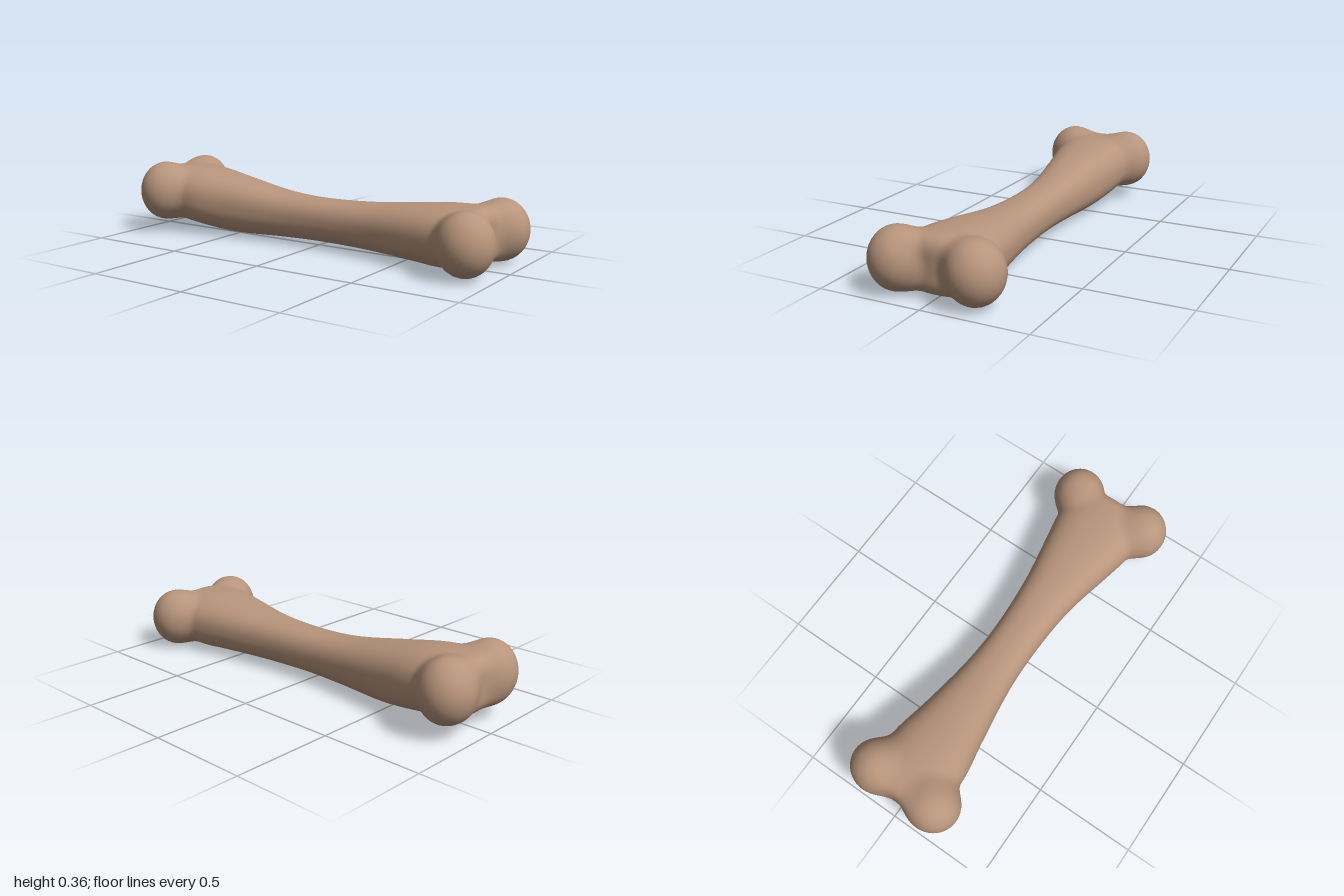
import * as THREE from 'three';

// Shaft cross-sections: x, top, bottom, back z, front z
const SECTIONS = [
  [-0.95, 0.33, 0.075, -0.19, 0.18],
  [-0.8, 0.338, 0.052, -0.205, 0.195],
  [-0.68, 0.33, 0.034, -0.2, 0.192],
  [-0.5, 0.3, 0.014, -0.172, 0.158],
  [-0.2, 0.248, 0.021, -0.135, 0.112],
  [0, 0.235, 0.025, -0.128, 0.103],
  [0.3, 0.243, 0.02, -0.148, 0.12],
  [0.6, 0.274, 0.007, -0.198, 0.183],
  [0.7, 0.282, 0.002, -0.216, 0.203],
  [0.95, 0.283, 0.018, -0.22, 0.215],
];

// Knobs: centre and radii
const KNOBS = [
  { c: [-0.872, 0.211, -0.158], r: [0.128, 0.15, 0.134] },
  { c: [-0.872, 0.211, 0.15], r: [0.128, 0.15, 0.134] },
  { c: [0.869, 0.154, -0.19], r: [0.131, 0.145, 0.13] },
  { c: [0.869, 0.154, 0.185], r: [0.131, 0.145, 0.13] },
];

const interpolant = new THREE.CubicInterpolant(
  SECTIONS.map((s) => s[0]), SECTIONS.flatMap((s) => s.slice(1)), 4);

function section(x) {
  const [top, bottom, back, front] = interpolant.evaluate(THREE.MathUtils.clamp(x, -0.949, 0.949));
  return {
    y: (top + bottom) / 2, h: (top - bottom) / 2,
    z: (back + front) / 2, w: (front - back) / 2,
  };
}

function smoothMin(a, b, k) {
  const h = Math.max(k - Math.abs(a - b), 0) / k;
  return Math.min(a, b) - h * h * k * 0.25;
}
const smoothMax = (a, b, k) => -smoothMin(-a, -b, k);

// Signed field of the whole bone: flattened shaft blended with four knobs
function field(x, y, z) {
  const s = section(x), n = 2.4;
  const q = Math.pow(Math.abs((y - s.y) / s.h) ** n + Math.abs((z - s.z) / s.w) ** n, 1 / n);
  let d = (q - 1) * Math.min(s.h, s.w);
  d = smoothMax(d, x - 0.91, 0.08);
  d = smoothMax(d, -0.955 - x, 0.08);
  for (const { c, r } of KNOBS) {
    const e = Math.hypot((x - c[0]) / r[0], (y - c[1]) / r[1], (z - c[2]) / r[2]);
    d = smoothMin(d, (e - 1) * Math.min(...r), 0.045);
  }
  return d;
}

// Rings fan around each end and run straight along the shaft
function ringList() {
  const rings = [], axis = 0.7, fan = 32, along = 44;
  for (let i = 0; i <= fan; i++) rings.push([-axis, Math.PI * (1 - i / fan / 2)]);
  for (let i = 1; i < along; i++) rings.push([-axis + (2 * axis * i) / along, Math.PI / 2]);
  for (let i = 0; i <= fan; i++) rings.push([axis, (Math.PI / 2) * (1 - i / fan)]);
  return rings;
}

function boneGeometry() {
  const around = 80, rings = ringList(), last = rings.length - 1;
  const positions = [], index = [];
  rings.forEach(([ox, theta], i) => {
    const oy = section(ox).y;
    const count = i === 0 || i === last ? 1 : around;
    for (let j = 0; j < count; j++) {
      const phi = (j / around) * Math.PI * 2;
      const dir = [Math.cos(theta), Math.sin(theta) * Math.cos(phi), Math.sin(theta) * Math.sin(phi)];
      // Bisect outward to find the surface
      let lo = 0, hi = 0.46;
      for (let k = 0; k < 24; k++) {
        const t = (lo + hi) / 2;
        if (field(ox + dir[0] * t, oy + dir[1] * t, dir[2] * t) < 0) lo = t;
        else hi = t;
      }
      positions.push(ox + dir[0] * lo, oy + dir[1] * lo, dir[2] * lo);
    }
  });
  const id = (i, j) => (i === 0 ? 0 : i === last ? 1 + (last - 1) * around : 1 + (i - 1) * around + (j % around));
  for (let i = 0; i < last; i++) {
    for (let j = 0; j < around; j++) {
      const a = id(i, j), b = id(i + 1, j), c = id(i + 1, j + 1), d = id(i, j + 1);
      if (i > 0) index.push(a, d, b);
      if (i < last - 1) index.push(d, c, b);
      else continue;
    }
  }
  const geometry = new THREE.BufferGeometry();
  geometry.setAttribute('position', new THREE.Float32BufferAttribute(positions, 3));
  geometry.setIndex(index);
  geometry.computeVertexNormals();
  return geometry;
}

export function createModel() {
  const group = new THREE.Group();
  group.name = 'bone';
  const material = new THREE.MeshStandardMaterial({ color: 0xb8957c });
  const bone = new THREE.Mesh(boneGeometry(), material);
  bone.name = 'shaftAndKnobs';
  group.add(bone);
  return group;
}
